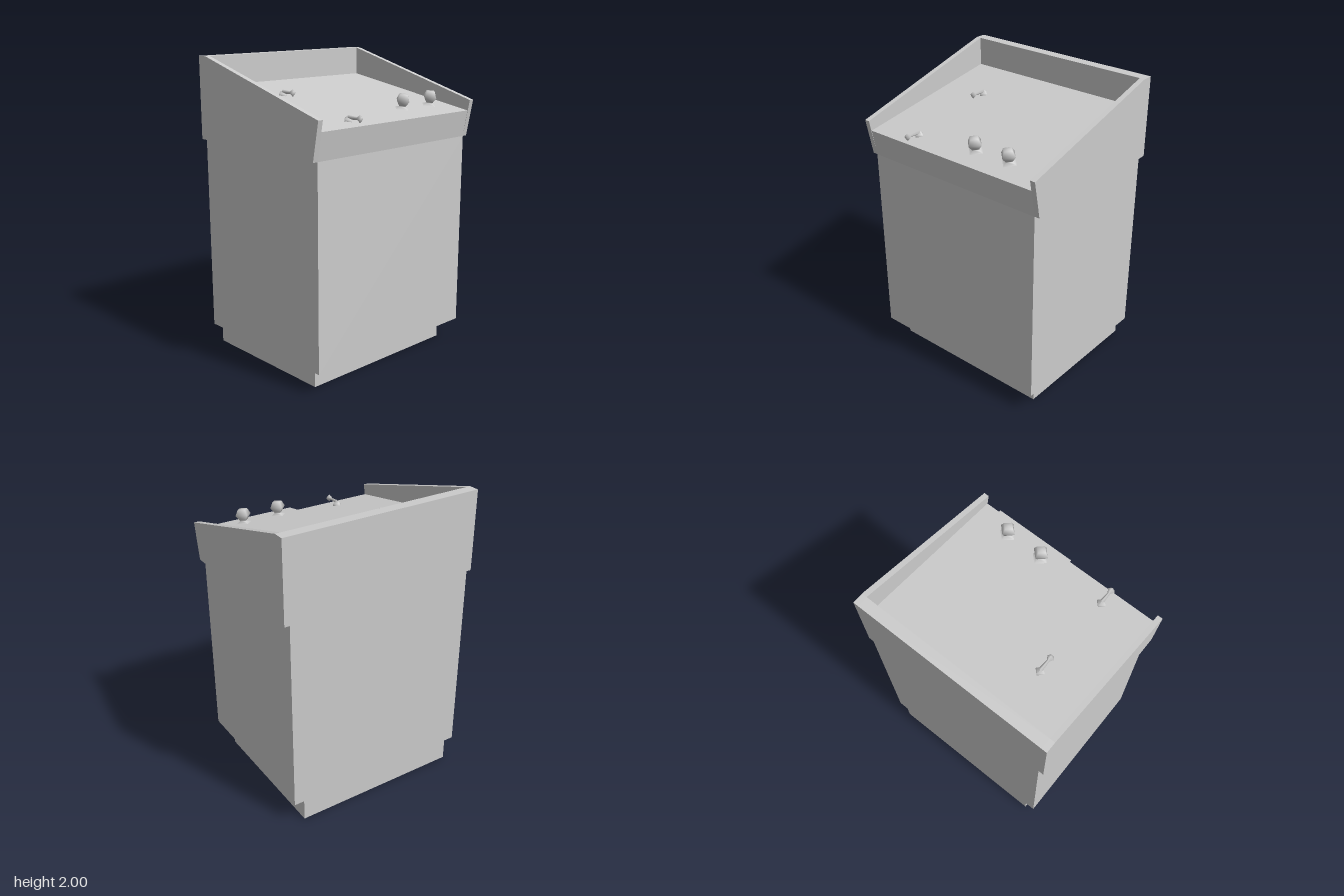
import * as THREE from 'three';

const grey = new THREE.MeshStandardMaterial({ color: 0xcccccc, side: THREE.DoubleSide });

const SLOPE = 0.166; // rise of the recessed deck towards the back
const TILT = Math.atan(SLOPE);
const deckY = (z) => 1.635 + (0.556 - z) * SLOPE;

function mesh(name, geometry) {
  const m = new THREE.Mesh(geometry, grey);
  m.name = name;
  return m;
}

// Flat-shaded geometry from a list of four-cornered faces
function quads(list) {
  const pos = [];
  for (const [a, b, c, d] of list) pos.push(...a, ...b, ...c, ...a, ...c, ...d);
  const g = new THREE.BufferGeometry();
  g.setAttribute('position', new THREE.Float32BufferAttribute(pos, 3));
  g.computeVertexNormals();
  return g;
}

// Open shell through rectangular rings: [half width, front z, y], back always flush
function shell(rings, back) {
  const corners = rings.map(([w, f, y]) => [[-w, y, f], [w, y, f], [w, y, back], [-w, y, back]]);
  const list = [];
  for (let i = 0; i + 1 < corners.length; i++) {
    for (let k = 0; k < 4; k++) {
      const n = (k + 1) % 4;
      list.push([corners[i][k], corners[i][n], corners[i + 1][n], corners[i + 1][k]]);
    }
  }
  return quads(list);
}

// Sheet of constant width following a [z, y] profile
function strip(profile, w) {
  const list = [];
  for (let i = 0; i + 1 < profile.length; i++) {
    const [z0, y0] = profile[i];
    const [z1, y1] = profile[i + 1];
    list.push([[-w, y0, z0], [w, y0, z0], [w, y1, z1], [-w, y1, z1]]);
  }
  return quads(list);
}

// Four-sided turned part from [radius, height] points
function turned(points) {
  return new THREE.LatheGeometry(points.map(([r, y]) => new THREE.Vector2(r, y)), 4);
}

export function createModel() {
  const group = new THREE.Group();
  group.name = 'controlConsole';

  // Hollow cabinet with inset plinth, open underneath
  group.add(mesh('cabinet', shell([
    [0.585, 0.41, 0], [0.585, 0.41, 0.147],
    [0.655, 0.525, 0.147], [0.655, 0.525, 1.46],
  ], -0.572)));

  // Front lip, sloping recessed deck and back wall
  group.add(mesh('deck', strip([
    [0.525, 1.46], [0.556, 1.635], [-0.5, deckY(-0.5)],
    [-0.5, 2], [-0.572, 2], [-0.572, 1.46],
  ], 0.655)));

  // Side cheeks
  const cheek = new THREE.Shape([
    [0.525, 1.46], [0.572, 1.705], [-0.5, 2], [-0.572, 2], [-0.572, 1.46],
  ].map(([z, y]) => new THREE.Vector2(z, y)));
  for (const [name, x] of [['leftCheek', 0.69], ['rightCheek', -0.655]]) {
    const g = new THREE.ExtrudeGeometry(cheek, { depth: 0.035, bevelEnabled: false });
    g.rotateY(-Math.PI / 2).translate(x, 0, 0);
    group.add(mesh(name, g));
  }

  // Thin control plate just above the deck
  const plate = strip([[0.556, deckY(0.556) + 0.03], [0.087, deckY(0.087) + 0.03]], 0.283);
  plate.translate(0.264, 0, 0);
  group.add(mesh('controlPlate', plate));

  // Knobs on the plate
  for (const x of [0.138, 0.397]) {
    const knob = mesh('knob', turned([
      [0.055, 0], [0.02, 0.012], [0.03, 0.02], [0.055, 0.053], [0.035, 0.09], [0, 0.09],
    ]));
    knob.position.set(x, deckY(0.438) + 0.03, 0.438);
    knob.rotation.x = TILT;
    group.add(knob);
  }

  // Toggle switches with forward-pointing levers
  for (const z of [-0.165, 0.442]) {
    const toggle = new THREE.Group();
    toggle.name = 'toggleSwitch';
    const base = mesh('toggleBase', turned([[0.033, 0], [0.03, 0.014], [0, 0.034]]));
    base.rotation.x = TILT;
    const lever = mesh('toggleLever', turned([
      [0.014, 0], [0.009, 0.075], [0.025, 0.1], [0.012, 0.114], [0, 0.114],
    ]));
    lever.rotation.x = Math.PI / 2;
    lever.position.y = 0.022;
    toggle.add(base, lever);
    toggle.position.set(-0.335, deckY(z), z);
    group.add(toggle);
  }

  return group;
}
